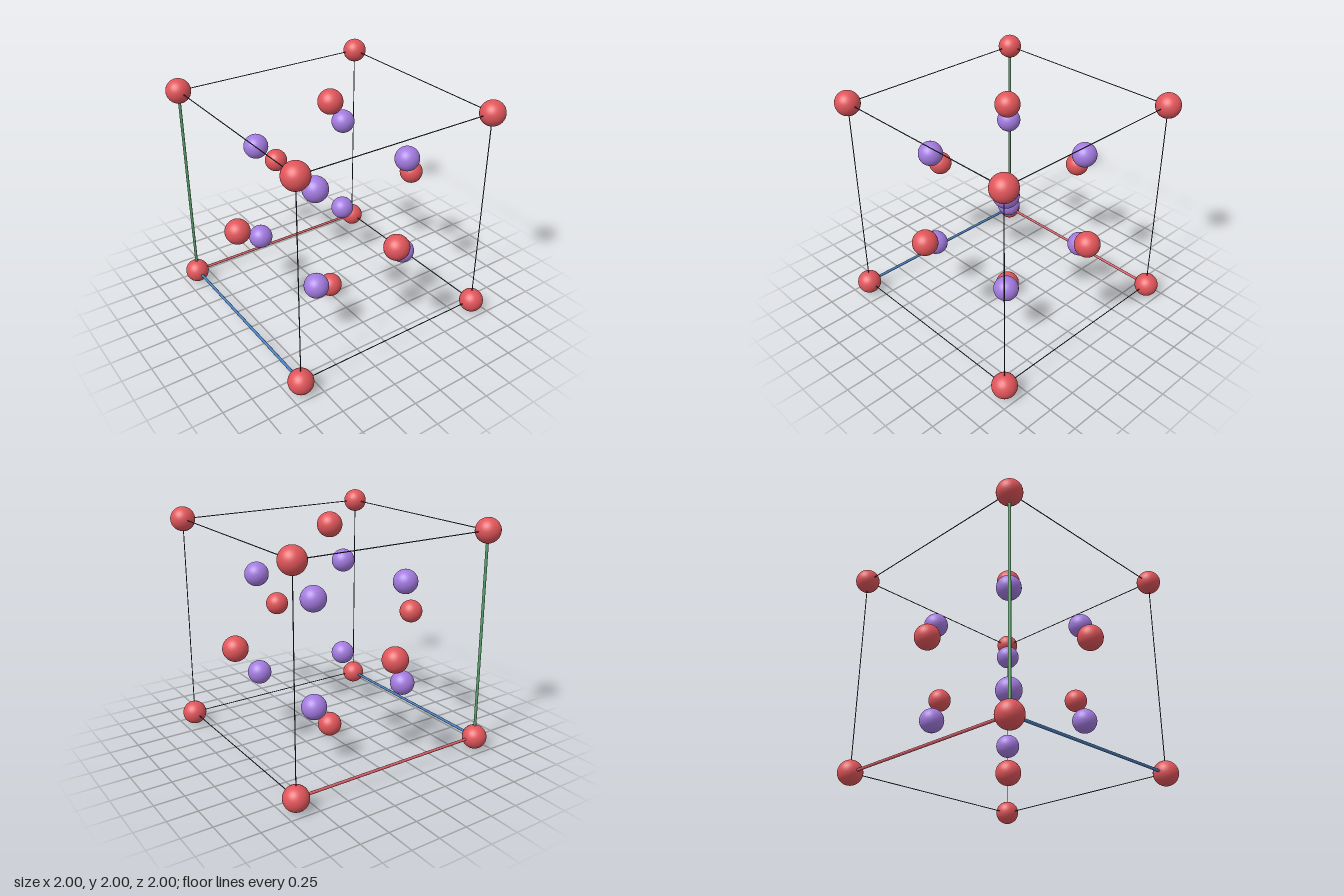
import * as THREE from 'three';

const HALF = 0.896;   // half the cell edge
const RADIUS = 0.104; // atom radius

function material(name, color) {
  const m = new THREE.MeshStandardMaterial({ color });
  m.name = name;
  return m;
}

export function createModel() {
  const model = new THREE.Group();
  model.name = 'crystalUnitCell';

  const red = material('red atom', 0xe0555a);
  const purple = material('purple atom', 0xa37be0);
  const dark = material('dark edge', 0x333a44);
  const axisColours = [
    material('red axis', 0xd9606a),
    material('green axis', 0x5a9e6a),
    material('blue axis', 0x4a7fc0),
  ];

  const ball = new THREE.SphereGeometry(RADIUS, 32, 24);
  const thinRod = new THREE.CylinderGeometry(0.004, 0.004, 2 * HALF, 8);
  const thickRod = new THREE.CylinderGeometry(0.012, 0.012, 2 * HALF, 12);

  const add = (name, geometry, mat, p) => {
    const mesh = new THREE.Mesh(geometry, mat);
    mesh.name = name;
    mesh.position.set(p[0], p[1] + 1, p[2]);
    model.add(mesh);
    return mesh;
  };

  // Corner atoms and the smaller cube of inner atoms
  for (const x of [-1, 1]) for (const y of [-1, 1]) for (const z of [-1, 1]) {
    const corner = [x * HALF, y * HALF, z * HALF];
    add('cornerAtom', ball, red, corner);
    add('innerAtom', ball, purple, corner.map((v) => v / 2));
  }

  for (let axis = 0; axis < 3; axis++) {
    // Atoms at the centres of opposite faces
    for (const s of [-1, 1]) {
      const p = [0, 0, 0];
      p[axis] = s * HALF;
      add('faceAtom', ball, red, p);
    }

    // Four parallel cell edges; the one at the origin corner is a thick coloured axis
    for (const a of [-1, 1]) for (const b of [-1, 1]) {
      const p = [0, 0, 0];
      p[(axis + 1) % 3] = a * HALF;
      p[(axis + 2) % 3] = b * HALF;
      const isAxis = a < 0 && b < 0;
      const rod = add(isAxis ? 'axisRod' : 'cellEdge', isAxis ? thickRod : thinRod,
        isAxis ? axisColours[axis] : dark, p);
      if (axis === 0) rod.rotation.z = Math.PI / 2;
      if (axis === 2) rod.rotation.x = Math.PI / 2;
    }
  }

  return model;
}
